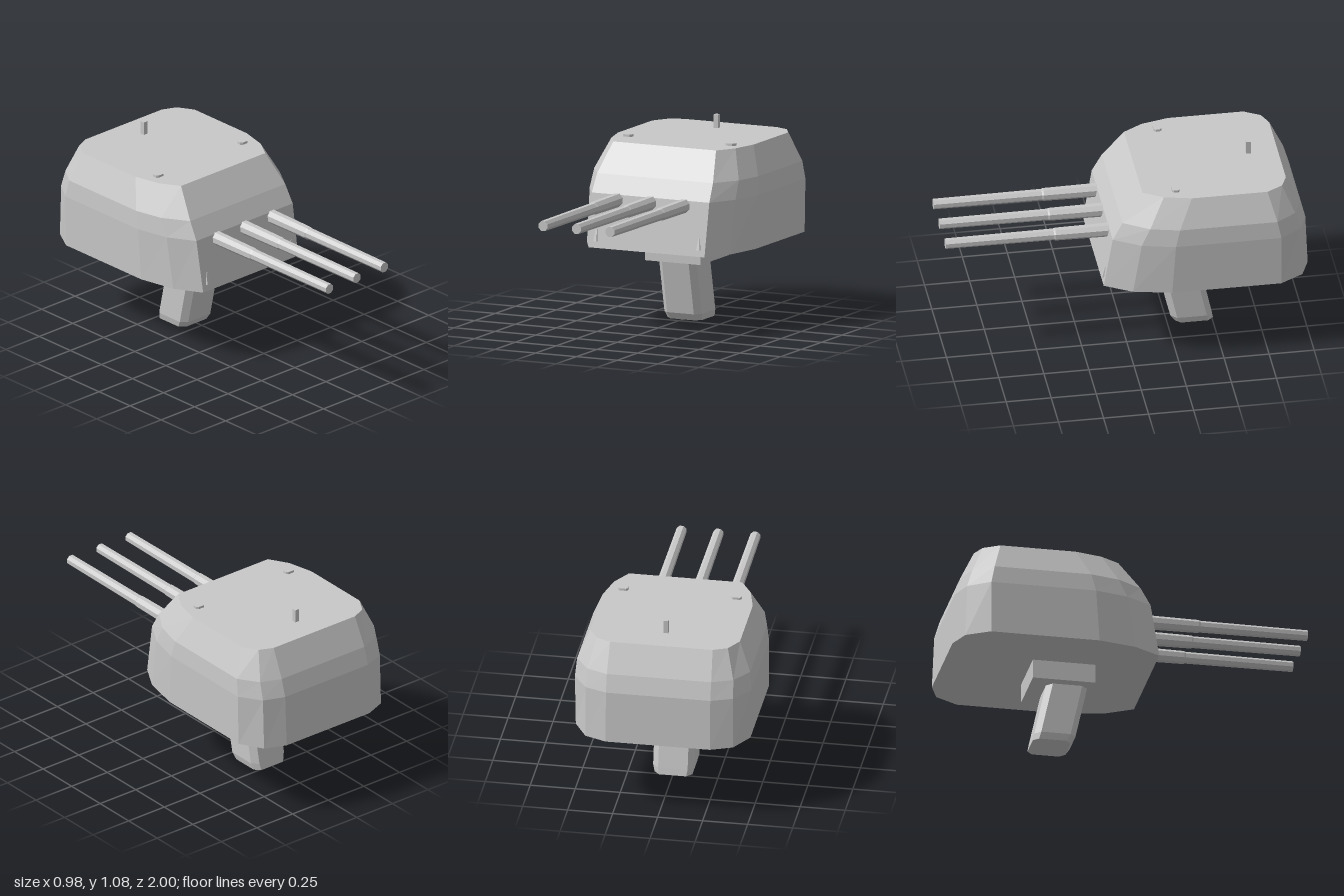
import * as THREE from 'three';

// Closed solid from level rings; each ring is [y, [[x, z], ...]], anticlockwise seen from above
function loft(rings) {
  const pos = [];
  const n = rings[0][1].length;
  const point = (r, i) => {
    const [y, pts] = rings[r];
    const [x, z] = pts[i % n];
    return [x, y, z];
  };
  const tri = (a, b, c) => pos.push(...a, ...b, ...c);
  const last = rings.length - 1;
  for (let r = 0; r < last; r++) {
    for (let i = 0; i < n; i++) {
      tri(point(r, i), point(r, i + 1), point(r + 1, i + 1));
      tri(point(r, i), point(r + 1, i + 1), point(r + 1, i));
    }
  }
  for (let i = 1; i < n - 1; i++) {
    tri(point(0, 0), point(0, i + 1), point(0, i));
    tri(point(last, 0), point(last, i), point(last, i + 1));
  }
  const geo = new THREE.BufferGeometry();
  geo.setAttribute('position', new THREE.Float32BufferAttribute(pos, 3));
  geo.computeVertexNormals();
  return geo;
}

// Mirror a right-hand outline (front to back) into a full ring
const mirror = half => [...half, ...half.map(([x, z]) => [-x, z]).reverse()];

// Rectangle with cut corners: half width, front z, back z, corner cut
const cutRect = (w, f, b, c) =>
  mirror([[w - c, f], [w, f - c], [w, b + c], [w - c, b]]);

export function createModel() {
  const model = new THREE.Group();
  const steel = new THREE.MeshStandardMaterial({ color: 0xc8c8c8 });
  steel.name = 'light grey steel';
  steel.flatShading = true;

  const add = (name, geo, x = 0, y = 0, z = 0) => {
    const mesh = new THREE.Mesh(geo, steel);
    mesh.name = name;
    mesh.position.set(x, y, z);
    model.add(mesh);
  };

  // Armoured housing, narrowing towards the roof
  add('housing', loft([
    [0.443, mirror([[0.355, 0.144], [0.44, -0.005], [0.485, -0.215], [0.485, -0.82], [0.41, -0.95], [0.29, -0.998]])],
    [0.74, mirror([[0.36, 0.095], [0.447, -0.052], [0.49, -0.235], [0.49, -0.82], [0.41, -0.94], [0.29, -0.985]])],
    [0.84, mirror([[0.355, 0.04], [0.443, -0.1], [0.481, -0.26], [0.481, -0.8], [0.405, -0.91], [0.29, -0.955]])],
    [1.0, mirror([[0.315, -0.077], [0.38, -0.185], [0.416, -0.335], [0.416, -0.755], [0.364, -0.844], [0.285, -0.878]])],
  ]));

  // Square collar and slanted post below
  add('collar', new THREE.BoxGeometry(0.34, 0.115, 0.35), 0, 0.3925, -0.35);
  add('post', loft([
    [0, cutRect(0.105, -0.295, -0.507, 0.03)],
    [0.038, cutRect(0.115, -0.27, -0.5, 0.033)],
    [0.345, cutRect(0.115, -0.203, -0.433, 0.033)],
  ]));

  // Three eight-sided gun barrels with a stepped taper
  const barrelProfile = [[0, 0], [0.04, 0], [0.036, 0.39], [0.0325, 0.4], [0.0295, 1], [0, 1]]
    .map(([r, z]) => new THREE.Vector2(r, z));
  for (const x of [-0.205, 0, 0.205]) {
    const geo = new THREE.LatheGeometry(barrelProfile, 8, Math.PI / 8);
    geo.rotateX(Math.PI / 2);
    add('barrel', geo, x, 0.71, 0);
  }

  // Roof hatches and tapered front brackets, one on each side
  for (const side of [-1, 1]) {
    add('roofHatch', loft([
      [0, cutRect(0.028, 0.021, -0.021, 0.01)],
      [0.015, cutRect(0.028, 0.021, -0.021, 0.01)],
    ]), side * 0.315, 0.998, -0.26);
    add('frontBracket', loft([
      [0.48, mirror([[0.01, 0.148], [0.015, 0.12]])],
      [0.545, mirror([[0.004, 0.13], [0.008, 0.11]])],
    ]), side * 0.315);
  }

  // Roof mast
  add('mast', new THREE.BoxGeometry(0.026, 0.08, 0.026), 0, 1.035, -0.715);

  return model;
}
